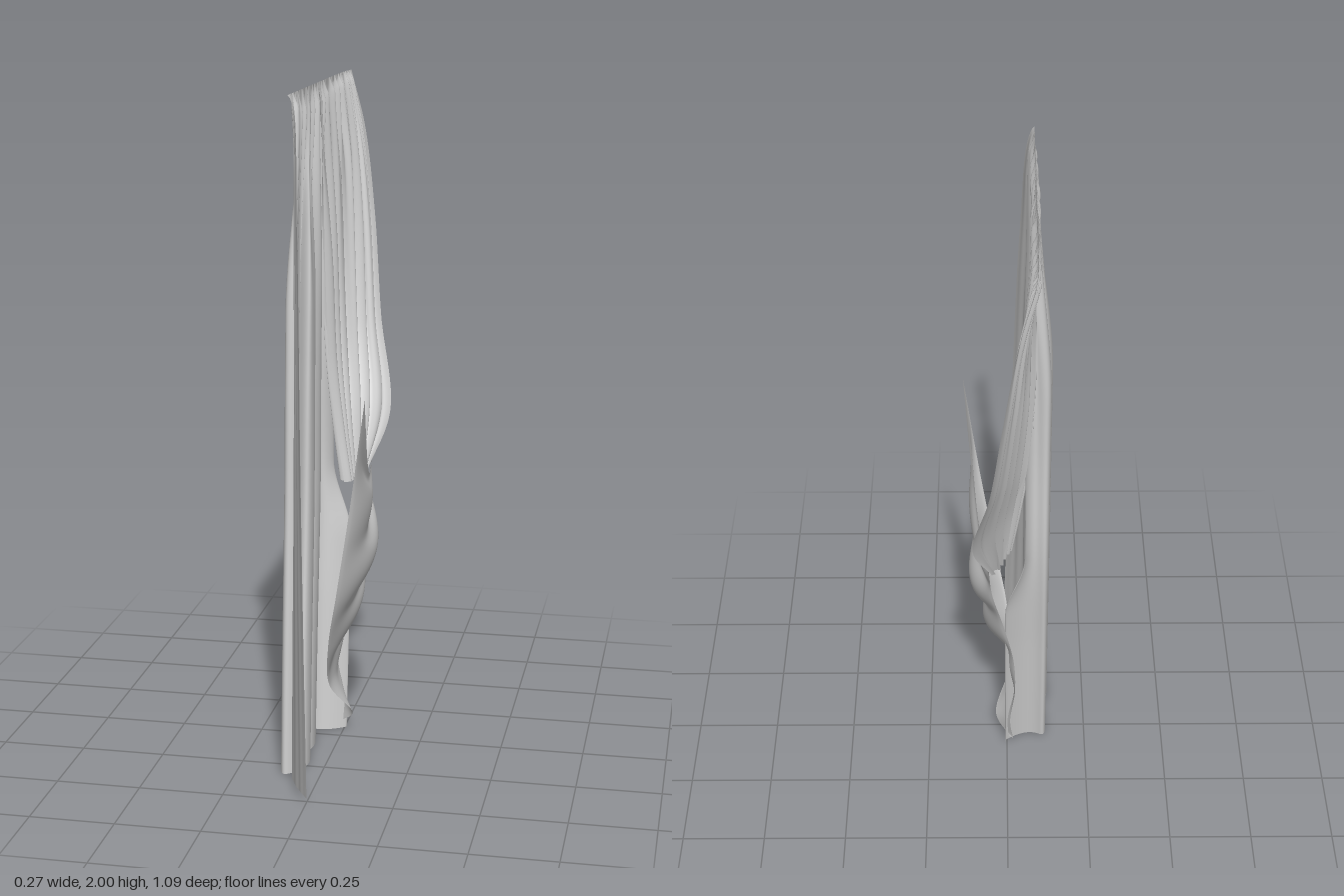
import * as THREE from 'three';

const { smoothstep, lerp } = THREE.MathUtils;
const curve = (pts) => new THREE.CatmullRomCurve3(pts.map((p) => new THREE.Vector3(...p)));

// Grid of cloth: fn(u, v) returns [x, y, z]
function sheet(name, nu, nv, fn) {
  const pos = [], idx = [];
  for (let j = 0; j <= nv; j++) {
    for (let i = 0; i <= nu; i++) {
      pos.push(...fn(i / nu, j / nv));
      if (i < nu && j < nv) {
        const a = j * (nu + 1) + i, b = a + nu + 1;
        idx.push(a, b, a + 1, a + 1, b, b + 1);
      }
    }
  }
  const g = new THREE.BufferGeometry();
  g.setAttribute('position', new THREE.Float32BufferAttribute(pos, 3));
  g.setIndex(idx);
  g.computeVertexNormals();
  const mesh = new THREE.Mesh(g, new THREE.MeshStandardMaterial({ color: 0xcccccc, side: THREE.DoubleSide }));
  mesh.name = name;
  return mesh;
}

// Fine irregular gathers below the heading, by position s along the rail;
// each starts flat at the rail and fades downwards over its own length
function gathers(s, v) {
  const fade = (rate) => smoothstep(v, 0, 0.035) * Math.exp(-v * rate);
  return 0.008 * Math.sin(s * 128 + 2 * Math.sin(s * 17)) * fade(2.2)
    + 0.006 * Math.sin(s * 211 + 1.3) * fade(5 + 2 * Math.sin(s * 31))
    + 0.004 * Math.sin(s * 330 + 4 + Math.sin(s * 23)) * fade(7 + 3 * Math.sin(s * 47));
}

// Front and rear outlines of the hanging panel (only y and z are used)
const frontEdge = curve([[0, 2, 0.34], [0, 1.85, 0.375], [0, 1.5, 0.43], [0, 1, 0.485], [0, 0.5, 0.52], [0, 0.03, 0.545]]);
const rearEdge = curve([[0, 2, -0.16], [0, 1.6, -0.16], [0, 1.2, -0.16], [0, 0.8, -0.17], [0, 0.4, -0.125], [0, 0, -0.08]]);

function hangingPanel(u, v) {
  const a = frontEdge.getPoint(v), b = rearEdge.getPoint(v);
  const grow = smoothstep(v, 0, 0.32);
  const folds = smoothstep(u, 0.3, 0.42) * grow;
  const phase = (u - 0.36) * Math.PI * 2 * 4.5 + 0.5 * Math.sin(u * 11 + v);
  // the leading strip sweeps forward in one smooth curve
  const lead = 0.1 * Math.pow(Math.max(0, 1 - u / 0.42), 1.4) * Math.pow(v, 0.6);
  let x = -0.08 - 0.012 * grow + lead;
  x -= folds * (0.034 + 0.008 * Math.sin(u * 14)) * Math.sin(phase);
  x += gathers(lerp(0.34, -0.16, u), v) * smoothstep(u, 0, 0.1);
  // the rear margin wraps towards the swag below the tie
  x += 0.06 * smoothstep(u, 0.92, 1) * smoothstep(v, 0.58, 0.7);
  const z = lerp(a.z, b.z, u) + 0.028 * folds * Math.sin(2 * phase) * smoothstep(1 - u, 0, 0.12);
  return [x, lerp(a.y, b.y, Math.min(1, u * 3)), z];
}

// Guide strands of the side drawn across to the tie, inner to outer
const strands = [
  [[-0.08, 2, -0.06], [-0.068, 1.7, -0.07], [-0.06, 1.4, -0.08], [-0.05, 1.15, -0.085], [-0.025, 0.95, -0.08], [0.0, 0.8, -0.07]],
  [[-0.08, 2, -0.3], [-0.06, 1.75, -0.3], [-0.05, 1.45, -0.27], [-0.03, 1.2, -0.22], [-0.005, 0.98, -0.155], [0.015, 0.8, -0.115]],
  [[-0.078, 2, -0.45], [-0.045, 1.8, -0.45], [-0.02, 1.53, -0.41], [0.005, 1.25, -0.335], [0.035, 1.0, -0.24], [0.025, 0.8, -0.165]],
  [[-0.07, 2, -0.538], [-0.025, 1.82, -0.538], [0.014, 1.55, -0.5], [0.05, 1.25, -0.412], [0.1, 0.97, -0.298], [0.045, 0.8, -0.2]],
].map(curve);

function gatheredSide(u, v) {
  const p = curve(strands.map((s) => s.getPoint(v).toArray())).getPoint(u);
  const edge = smoothstep(1 - u, 0, 0.12);
  const folds = smoothstep(v, 0.05, 0.4) * edge * (1 - 0.7 * u);
  const phase = 52 * u - 16 * u * u + 1.2 * Math.sin(u * 9);
  p.x += 0.02 * folds * Math.sin(phase) + gathers(lerp(-0.06, -0.54, u), v) * edge;
  p.z += 0.01 * folds * Math.cos(phase);
  return p.toArray();
}

// Swag outline: free leading edge and the edge that falls below the tie
const swagFront = curve([[0.133, 1.15, 0.323], [0.082, 0.8, 0.297], [0.038, 0.545, 0.26], [0.0, 0.36, 0.19],
  [-0.015, 0.2, 0.095], [0.035, 0.07, -0.02], [-0.01, 0.02, -0.075]]);
const swagRear = curve([[0.055, 0.84, -0.225], [0.045, 0.72, -0.195], [0.01, 0.56, -0.16], [-0.02, 0.4, -0.135],
  [-0.025, 0.25, -0.11], [-0.01, 0.1, -0.09], [-0.02, 0.015, -0.08]]);

function swagCloth(t, s) {
  const p = swagFront.getPoint(s).lerp(swagRear.getPoint(s), t);
  const belly = 4 * t * (1 - t);
  const span = smoothstep(s, 0, 0.06) * (1 - smoothstep(s, 0.45, 0.85));
  p.y -= belly * 0.12 * (1 - smoothstep(s, 0, 0.75));
  // the pocket swells outwards below the rim and tucks in at the foot
  p.x += Math.pow(belly, 0.7) * 0.05 * smoothstep(s, 0, 0.2) * (1 - smoothstep(s, 0.3, 0.75));
  // ridges fan out from the tie and flatten towards the leading edge
  const phase = Math.PI * 2 * (8 * s - 4 * s * s - 0.9 * (1 - t) * (1 - t));
  const fan = Math.pow(belly, 0.8) * (0.35 + 0.65 * t) * span;
  p.x += 0.017 * fan * Math.sin(phase);
  p.y += 0.016 * fan * Math.cos(phase);
  return p.toArray();
}

export function createModel() {
  const group = new THREE.Group();
  group.name = 'curtain';
  group.add(
    sheet('hangingPanel', 300, 80, hangingPanel),
    sheet('gatheredSide', 220, 80, gatheredSide),
    sheet('swag', 80, 130, swagCloth),
  );
  return group;
}
